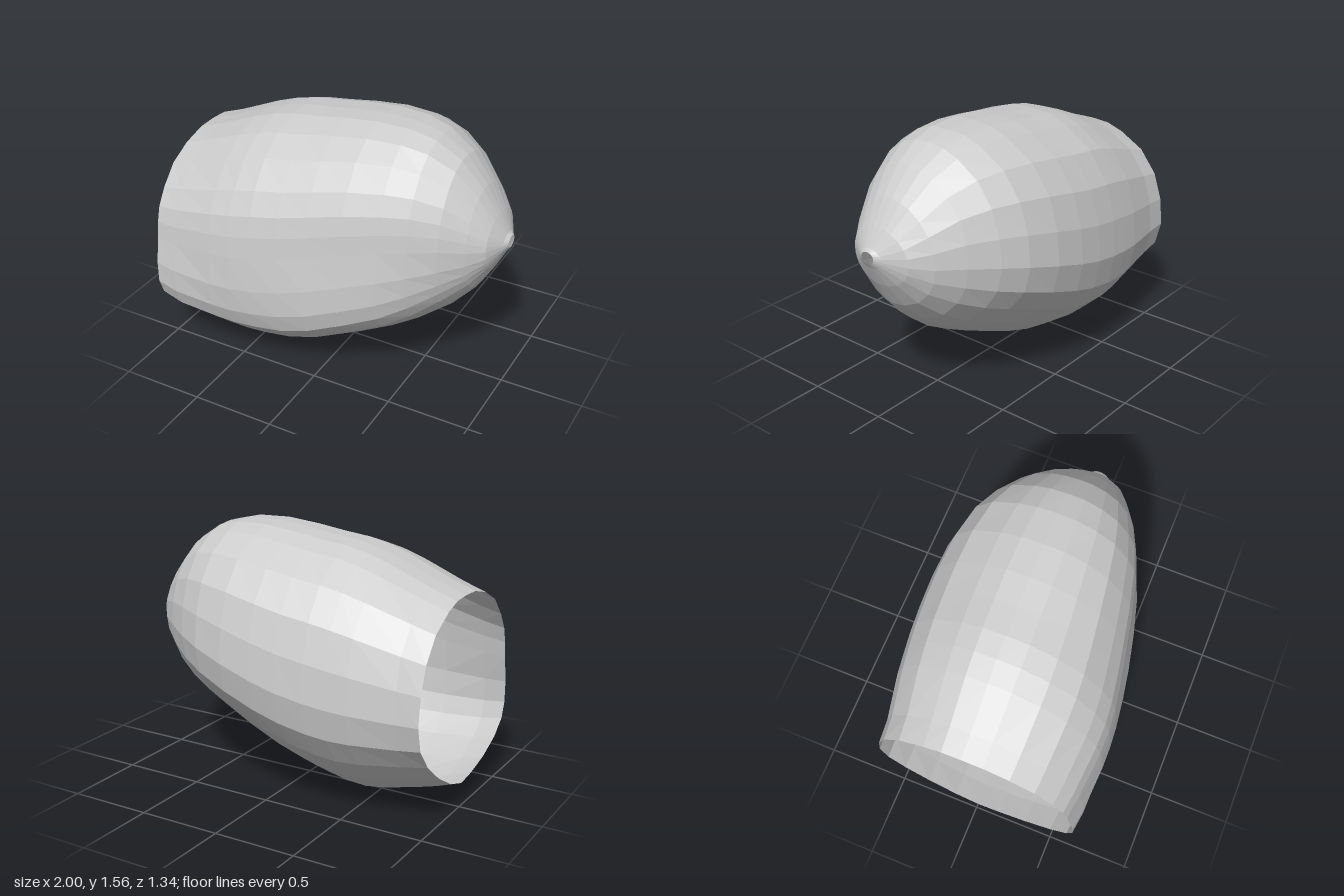
import * as THREE from 'three';

// Stations along the shell: x, bottom y, top y, back z, front z
const STATIONS = [
  [-1, 0.14, 1.26, -0.58, 0.62],
  [-0.86, 0.09, 1.31, -0.59, 0.64],
  [-0.6, 0.02, 1.42, -0.64, 0.665],
  [-0.47, 0.0, 1.465, -0.655, 0.667],
  [-0.34, 0.01, 1.495, -0.668, 0.655],
  [-0.17, 0.05, 1.515, -0.676, 0.625],
  [0, 0.11, 1.54, -0.674, 0.59],
  [0.2, 0.2, 1.56, -0.655, 0.545],
  [0.4, 0.3, 1.555, -0.605, 0.49],
  [0.55, 0.385, 1.52, -0.53, 0.43],
  [0.7, 0.505, 1.43, -0.425, 0.355],
  [0.83, 0.65, 1.28, -0.31, 0.27],
  [0.92, 0.8, 1.14, -0.2, 0.2],
  [0.98, 0.92, 1.035, -0.06, 0.1],
  [1, 0.95, 1.02, -0.02, 0.07],
];
const AXIS_Z = 0.02;

// Lopsided cross-section (z, y), from the top over the back and round to the front
const SECTION = [
  [-0.05, 1.56], [-0.18, 1.55], [-0.3, 1.5], [-0.47, 1.38], [-0.59, 1.19], [-0.65, 0.97],
  [-0.67, 0.74], [-0.63, 0.54], [-0.52, 0.37], [-0.36, 0.21], [-0.17, 0.07], [0, 0],
  [0.15, 0.04], [0.33, 0.11], [0.5, 0.21], [0.61, 0.32], [0.655, 0.44], [0.67, 0.61],
  [0.655, 0.83], [0.64, 0.97], [0.61, 1.1], [0.54, 1.24], [0.42, 1.4], [0.26, 1.5], [0.09, 1.555],
].map(([z, y]) => new THREE.Vector2(z / 0.67, y / 0.78 - 1));

function createShell() {
  const n = SECTION.length;
  const positions = [];
  const index = [];
  STATIONS.forEach(([x, y0, y1, z0, z1], i) => {
    // The section turns round towards the nose
    const round = THREE.MathUtils.smoothstep(x, 0.35, 0.9);
    // The lower front corner is fuller away from the lowest station
    const fullness = 0.12 * THREE.MathUtils.smoothstep(Math.abs(x + 0.47), 0, 0.5) * (1 - round);
    for (const p of SECTION) {
      const q = p.clone().lerp(p.clone().normalize(), round);
      if (q.x > 0 && q.y < 0) q.multiplyScalar(1 - fullness * q.x * q.y);
      const reach = q.x > 0 ? z1 - AXIS_Z : AXIS_Z - z0;
      positions.push(x, (y0 + y1) / 2 + (q.y * (y1 - y0)) / 2, AXIS_Z + q.x * reach);
    }
    if (i === STATIONS.length - 1) return;
    for (let j = 0; j < n; j++) {
      const k = (j + 1) % n;
      const a = i * n + j, b = a + n, c = i * n + k, d = c + n;
      index.push(a, b, c, b, d, c);
    }
  });
  const geometry = new THREE.BufferGeometry();
  geometry.setAttribute('position', new THREE.Float32BufferAttribute(positions, 3));
  geometry.setIndex(index);
  geometry.computeVertexNormals();
  return geometry;
}

export function createModel() {
  const group = new THREE.Group();
  group.name = 'openShell';
  // Thin shell, open at the wide end with a small hole at the nose
  const shell = new THREE.Mesh(createShell(), new THREE.MeshStandardMaterial({
    color: 0xcccccc, flatShading: true, side: THREE.DoubleSide,
  }));
  shell.name = 'shell';
  group.add(shell);
  return group;
}
